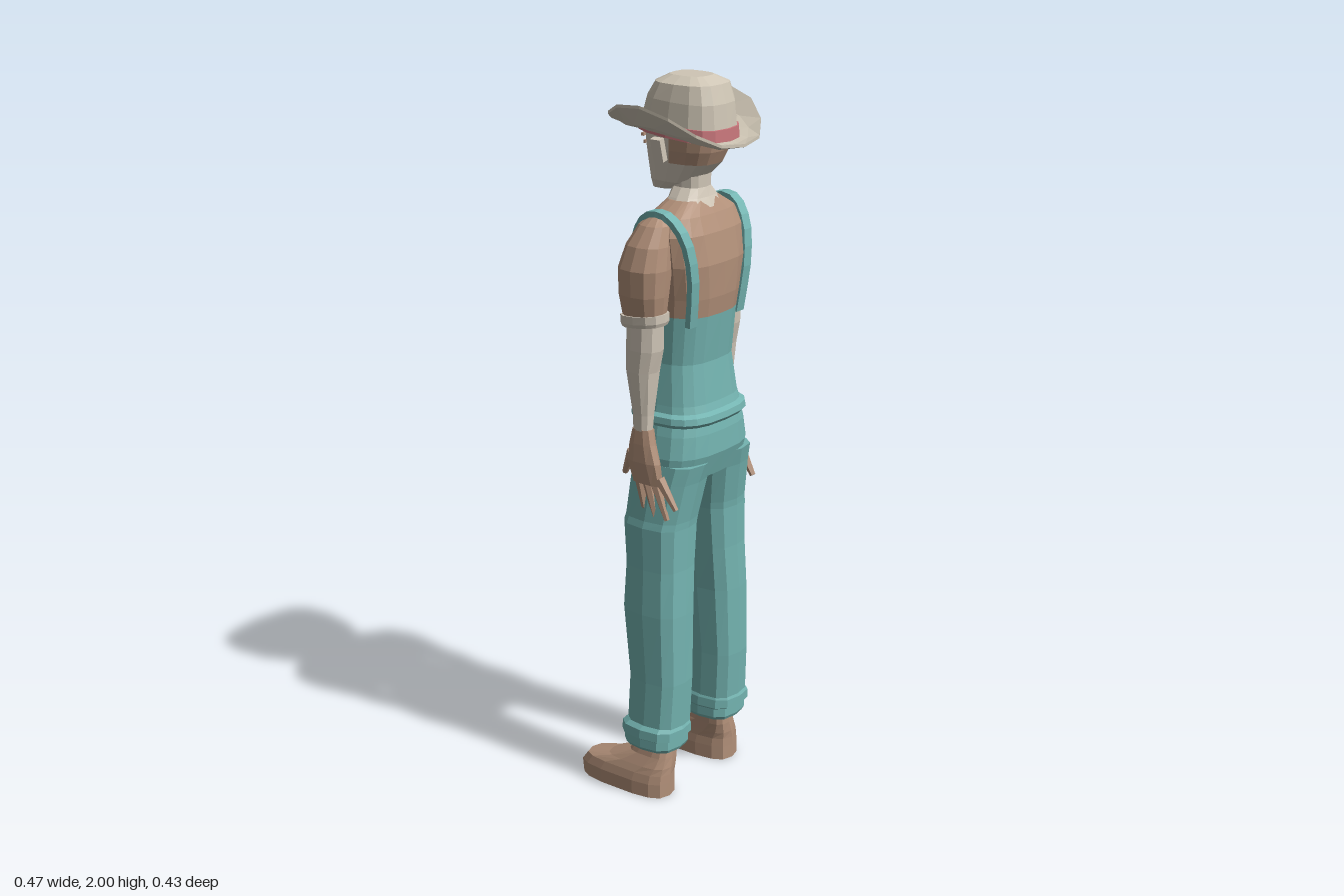
import * as THREE from 'three';

const mat = (name, color) => Object.assign(new THREE.MeshStandardMaterial({ color }), { name });

export function createModel() {
  const model = new THREE.Group();
  model.name = 'farmer';
  const teal = mat('denim teal', 0x74b4b1);
  const tan = mat('shirt tan', 0xb3917a);
  const cream = mat('skin cream', 0xd2c8b9);
  const straw = mat('hat straw', 0xcfc6b5);
  const red = mat('hat band red', 0xc8767b);

  const add = (name, geo, material, parent = model) => {
    const mesh = new THREE.Mesh(geo, material);
    mesh.name = name;
    parent.add(mesh);
    return mesh;
  };

  // Faceted skin over a list of closed rings; pick(centre) chooses the material index
  function skin(rings, cap = true, pick = () => 0) {
    const sets = [[], []];
    const tri = (a, b, c) => {
      const m = a.clone().add(b).add(c).divideScalar(3);
      sets[pick(m)].push(a, b, c);
    };
    const n = rings[0].length;
    for (let i = 0; i < rings.length - 1; i++) {
      for (let j = 0; j < n; j++) {
        const k = (j + 1) % n, a = rings[i], b = rings[i + 1];
        tri(a[j], a[k], b[k]);
        tri(a[j], b[k], b[j]);
      }
    }
    if (cap) {
      for (const [ring, top] of [[rings[0], false], [rings[rings.length - 1], true]]) {
        const mid = ring.reduce((s, p) => s.add(p), new THREE.Vector3()).divideScalar(n);
        for (let j = 0; j < n; j++) {
          const p = ring[j], q = ring[(j + 1) % n];
          top ? tri(p, q, mid) : tri(q, p, mid);
        }
      }
    }
    const geo = new THREE.BufferGeometry().setFromPoints([...sets[0], ...sets[1]]);
    geo.addGroup(0, sets[0].length, 0);
    if (sets[1].length) geo.addGroup(sets[0].length, sets[1].length, 1);
    geo.computeVertexNormals();
    return geo;
  }

  // Rounded-box ring from its extents; slope tips it along z
  function ring([y, x0, x1, z0, z1, slope = 0], n, e) {
    const pow = v => Math.sign(v) * Math.abs(v) ** e;
    return Array.from({ length: n }, (_, j) => {
      const t = j / n * Math.PI * 2;
      const x = (x0 + x1) / 2 + pow(Math.sin(t)) * (x1 - x0) / 2;
      const z = (z0 + z1) / 2 + pow(Math.cos(t)) * (z1 - z0) / 2;
      return new THREE.Vector3(x, y + slope * z, z);
    });
  }
  const loft = (secs, n = 12, e = 0.75, pick) => skin(secs.map(s => ring(s, n, e)), true, pick);
  const centred = secs => secs.map(([y, w, ...r]) => [y, -w, w, ...r]);
  const sided = (secs, s) => s > 0 ? secs : secs.map(([y, a, b, ...r]) => [y, -b, -a, ...r]);

  // Tapered round segment between two points
  function segment(a, b, ra, rb) {
    const A = new THREE.Vector3(...a), d = new THREE.Vector3(...b).sub(A);
    const geo = new THREE.CylinderGeometry(rb, ra, d.length(), 6).toNonIndexed();
    geo.computeVertexNormals();
    geo.applyQuaternion(new THREE.Quaternion().setFromUnitVectors(
      new THREE.Vector3(0, 1, 0), d.clone().normalize()));
    return geo.translate(...A.addScaledVector(d, 0.5).toArray());
  }

  // Torso: overalls below, shirt above, the bib higher at the chest
  add('torso', loft(centred([
    [1.1, 0.145, -0.08, 0.155], [1.14, 0.138, -0.075, 0.143], [1.25, 0.124, -0.08, 0.13],
    [1.38, 0.125, -0.09, 0.145], [1.43, 0.13, -0.087, 0.152], [1.52, 0.148, -0.065, 0.155],
    [1.6, 0.155, -0.045, 0.14], [1.645, 0.135, -0.025, 0.12], [1.68, 0.075, 0, 0.1],
  ]), 20, 0.7, c => (c.y < 1.38 || (c.y < 1.43 && c.z < -0.04) ? 0 : 1)), [teal, tan]);
  add('waistband', loft(centred([
    [1.085, 0.15, -0.082, 0.158], [1.095, 0.157, -0.092, 0.166],
    [1.112, 0.155, -0.09, 0.163], [1.12, 0.142, -0.078, 0.148],
  ]), 20, 0.7), teal);
  add('hips', loft(centred([
    [0.935, 0.165, -0.05, 0.14], [1.0, 0.167, -0.06, 0.16],
    [1.06, 0.156, -0.06, 0.157], [1.1, 0.145, -0.06, 0.15],
  ]), 20, 0.75), teal);

  // Open collar: a folded triangle of skin at the chest
  const v = (x, y, z) => new THREE.Vector3(x, y, z);
  const collar = new THREE.BufferGeometry().setFromPoints([
    v(0, 1.685, -0.006), v(0.06, 1.675, -0.004), v(0.032, 1.61, -0.048),
    v(0, 1.685, -0.006), v(0.032, 1.61, -0.048), v(0, 1.55, -0.064),
    v(0, 1.685, -0.006), v(0, 1.55, -0.064), v(-0.032, 1.61, -0.048),
    v(0, 1.685, -0.006), v(-0.032, 1.61, -0.048), v(-0.06, 1.675, -0.004),
  ]);
  collar.computeVertexNormals();
  add('open collar', collar, cream);

  // Neck and head with hair at the back
  add('neck', loft(centred([
    [1.66, 0.088, -0.008, 0.112], [1.685, 0.068, -0.003, 0.1],
    [1.71, 0.046, 0, 0.092], [1.78, 0.045, 0, 0.095],
  ])), cream);
  add('head', loft(centred([
    [1.695, 0.032, -0.07, -0.005], [1.72, 0.052, -0.074, 0.07], [1.775, 0.07, -0.078, 0.125],
    [1.81, 0.08, -0.08, 0.142], [1.85, 0.085, -0.082, 0.152], [1.89, 0.08, -0.07, 0.145],
  ]), 16, 0.75, c => (c.y > 1.775 && c.z > 0.025 ? 1 : 0)), [cream, tan]);
  add('nose', skin([
    [v(-0.014, 1.775, -0.075), v(0.014, 1.775, -0.075), v(0, 1.782, -0.102)],
    [v(-0.007, 1.835, -0.075), v(0.007, 1.835, -0.075), v(0, 1.835, -0.084)],
  ]), cream);
  add('mouth', new THREE.BoxGeometry(0.04, 0.005, 0.006).translate(0, 1.742, -0.075), tan);

  // Hat: crown, band and brim curled up at the sides
  add('hat crown', loft(centred([
    [1.87, 0.096, -0.09, 0.162, -0.08], [1.94, 0.09, -0.07, 0.155, -0.04],
    [1.982, 0.08, -0.045, 0.14], [2, 0.045, -0.01, 0.1],
  ]), 16, 0.7), straw);
  add('hat band', loft(centred([
    [1.85, 0.101, -0.096, 0.168, -0.08], [1.884, 0.099, -0.094, 0.166, -0.08],
  ]), 16, 0.7), red);
  const brimRing = (w, z0, z1, lift) => ring([0, -w, w, z0, z1], 16, 0.88).map(p =>
    p.setY(1.855 - 0.1 * p.z + 0.085 * (Math.abs(p.x) / 0.19) ** 3 + lift));
  const inner = [0.09, -0.085, 0.158], middle = [0.145, -0.13, 0.19], outer = [0.19, -0.17, 0.215];
  add('hat brim', skin([
    brimRing(...inner, -0.012), brimRing(...middle, -0.012), brimRing(...outer, -0.004),
    brimRing(...outer, 0.004), brimRing(...middle, 0), brimRing(...inner, 0),
  ], false), straw);

  for (const s of [1, -1]) {
    const side = new THREE.Group();
    side.name = s > 0 ? 'positive x side' : 'negative x side';
    model.add(side);
    const put = (name, geo, m) => add(name, geo, m, side);
    const part = (name, secs, m, n, e) => put(name, loft(sided(secs, s), n, e), m);

    // Face details
    put('ear', new THREE.BoxGeometry(0.018, 0.062, 0.032).toNonIndexed()
      .rotateZ(-0.25 * s).translate(0.092 * s, 1.812, 0.008), cream);
    put('eyebrow', new THREE.BoxGeometry(0.036, 0.008, 0.008).rotateY(0.15 * -s)
      .translate(0.034 * s, 1.835, -0.08), tan);
    put('eye', new THREE.BoxGeometry(0.024, 0.008, 0.006).rotateY(0.15 * -s)
      .translate(0.033 * s, 1.815, -0.078), tan);

    // Shoulder strap: flat ribbon from the back over to the bib
    const path = new THREE.CatmullRomCurve3([
      [0.103, 1.36, 0.122], [0.115, 1.5, 0.137], [0.13, 1.6, 0.121], [0.143, 1.655, 0.075],
      [0.143, 1.655, 0.02], [0.128, 1.6, -0.03], [0.11, 1.5, -0.06], [0.098, 1.41, -0.075],
    ].map(([x, y, z]) => v(x * s, y, z)));
    const X = v(1, 0, 0);
    put('strap', skin(Array.from({ length: 17 }, (_, i) => {
      const p = path.getPoint(i / 16);
      const N = X.clone().cross(path.getTangent(i / 16)).normalize();
      return [[-1, 1], [1, 1], [1, -1], [-1, -1]].map(([a, b]) =>
        p.clone().addScaledVector(X, a * 0.016).addScaledVector(N, b * 0.008));
    })), teal);

    // Arm
    part('sleeve', [
      [1.385, 0.125, 0.215, -0.038, 0.08], [1.45, 0.12, 0.23, -0.045, 0.09],
      [1.52, 0.11, 0.234, -0.045, 0.095], [1.58, 0.105, 0.215, -0.03, 0.09],
      [1.63, 0.1, 0.18, -0.008, 0.08], [1.653, 0.1, 0.15, 0.015, 0.06],
    ], tan, 12, 0.85);
    part('sleeve cuff', [
      [1.362, 0.122, 0.216, -0.042, 0.084, 0.1], [1.372, 0.118, 0.22, -0.045, 0.088, 0.1],
      [1.394, 0.118, 0.222, -0.045, 0.088, 0.1],
    ], cream, 12, 0.85);
    part('forearm', [
      [1.05, 0.158, 0.195, -0.008, 0.045], [1.12, 0.15, 0.196, -0.012, 0.048],
      [1.24, 0.13, 0.21, -0.03, 0.06], [1.3, 0.128, 0.211, -0.03, 0.073],
      [1.39, 0.13, 0.208, -0.03, 0.075],
    ], cream, 10, 0.9);
    part('gloved palm', [
      [0.93, 0.165, 0.194, -0.012, 0.088], [0.99, 0.16, 0.2, -0.03, 0.078],
      [1.04, 0.157, 0.198, -0.022, 0.06], [1.08, 0.155, 0.195, -0.012, 0.05],
    ], tan, 10, 0.8);
    for (const [a, b] of [
      [[0.178, 0.95, 0.075], [0.174, 0.87, 0.127]], [[0.178, 0.95, 0.055], [0.172, 0.835, 0.095]],
      [[0.178, 0.95, 0.032], [0.17, 0.812, 0.062]], [[0.178, 0.95, 0.008], [0.17, 0.825, 0.026]],
      [[0.178, 1.01, -0.015], [0.168, 0.94, -0.05]],
    ]) put('finger', segment([a[0] * s, a[1], a[2]], [b[0] * s, b[1], b[2]], 0.016, 0.008), tan);

    // Leg and shoe
    part('trouser leg', [
      [0.19, 0.06, 0.202, -0.05, 0.115], [0.35, 0.058, 0.197, -0.043, 0.123],
      [0.55, 0.05, 0.197, -0.066, 0.122], [0.68, 0.04, 0.192, -0.06, 0.118],
      [0.8, 0.03, 0.191, -0.07, 0.12], [0.82, 0.028, 0.186, -0.066, 0.122],
      [0.93, 0.012, 0.174, -0.058, 0.142], [0.98, 0, 0.167, -0.058, 0.155],
    ], teal, 12, 0.7);
    part('trouser cuff', [
      [0.145, 0.064, 0.2, -0.05, 0.105], [0.155, 0.058, 0.207, -0.058, 0.11],
      [0.18, 0.058, 0.207, -0.058, 0.11], [0.185, 0.054, 0.214, -0.064, 0.12],
      [0.21, 0.056, 0.212, -0.062, 0.12], [0.222, 0.062, 0.2, -0.05, 0.115],
    ], teal, 12, 0.7);
    part('shoe', [
      [0, 0.09, 0.205, -0.208, 0.085], [0.04, 0.09, 0.205, -0.213, 0.085],
      [0.065, 0.092, 0.2, -0.195, 0.085], [0.085, 0.092, 0.192, -0.12, 0.085],
      [0.115, 0.09, 0.178, -0.05, 0.083], [0.16, 0.086, 0.168, -0.02, 0.08],
    ], tan, 14, 0.65);
  }
  return model;
}
